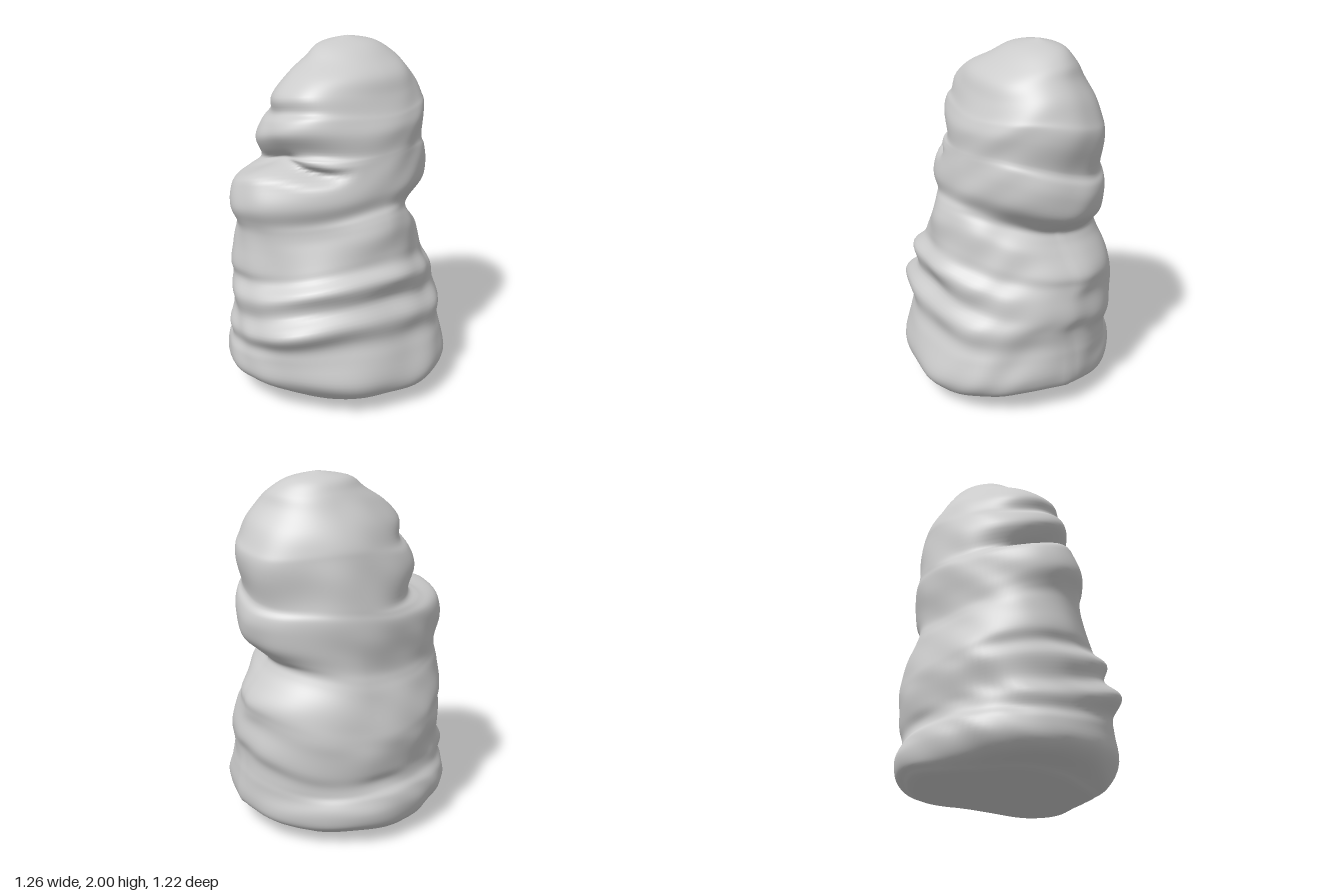
import * as THREE from 'three';

// Strata outline: height, -x edge, +x edge, front edge, back edge
const STRATA = [
  [0, 0.05, 0.05, -0.08, -0.08],
  [0.035, -0.34, 0.38, 0.44, -0.48],
  [0.07, -0.45, 0.49, 0.54, -0.57],
  [0.12, -0.56, 0.60, 0.58, -0.60],
  [0.20, -0.63, 0.63, 0.60, -0.61],
  [0.30, -0.625, 0.61, 0.565, -0.59],
  [0.37, -0.605, 0.60, 0.535, -0.555],
  [0.45, -0.63, 0.605, 0.55, -0.54],
  [0.54, -0.595, 0.62, 0.49, -0.555],
  [0.65, -0.61, 0.60, 0.525, -0.57],
  [0.73, -0.575, 0.595, 0.475, -0.57],
  [0.80, -0.59, 0.59, 0.465, -0.555],
  [0.90, -0.575, 0.53, 0.46, -0.53],
  [0.97, -0.57, 0.47, 0.44, -0.51],
  [1.02, -0.57, 0.45, 0.42, -0.49],
  [1.07, -0.58, 0.50, 0.395, -0.475],
  [1.15, -0.60, 0.575, 0.40, -0.475],
  [1.25, -0.59, 0.595, 0.39, -0.485],
  [1.33, -0.55, 0.585, 0.38, -0.49],
  [1.37, -0.46, 0.56, 0.375, -0.485],
  [1.41, -0.37, 0.56, 0.37, -0.48],
  [1.52, -0.42, 0.59, 0.36, -0.46],
  [1.60, -0.385, 0.60, 0.335, -0.44],
  [1.65, -0.33, 0.58, 0.315, -0.425],
  [1.74, -0.335, 0.53, 0.285, -0.38],
  [1.83, -0.26, 0.46, 0.25, -0.32],
  [1.90, -0.14, 0.41, 0.16, -0.27],
  [1.965, -0.03, 0.32, 0.05, -0.21],
  [2.0, 0.16, 0.16, -0.09, -0.09],
];

// Local swellings and hollows: angle from +x to front, spread, height, spread, amount
const BUMPS = [
  [50, 22, 0.30, 0.32, 0.07], // front +x corner of the foot
  [73, 14, 0.18, 0.20, 0.03], // toes of the foot
  [110, 12, 0.18, 0.20, 0.03],
  [140, 25, 0.46, 0.11, 0.11], // jutting beds
  [140, 22, 0.69, 0.07, 0.06],
  [135, 30, 0.98, 0.20, -0.08], // hollow below the shoulder
  [145, 25, 1.28, 0.08, -0.04], // shoulder corner
  [45, 30, 0.82, 0.18, -0.09], // hollow below the waist
  [40, 40, 1.03, 0.05, -0.05], // waist crease
  [315, 35, 0.20, 0.25, -0.07], // flat back corner
  [303, 22, 1.40, 0.30, -0.06], // flat beside the back ridge
  [142, 25, 1.66, 0.14, 0.10], // overhanging lip
  [225, 32, 1.84, 0.13, -0.10], // sloping back of the crown
];
const STEPS = 5, SIDES = 112;
const { smoothstep } = THREE.MathUtils;
const bell = (v, width) => Math.exp(-(v * v) / (width * width));

// Smooth curve through the strata rows
function rowAt(t) {
  const last = STRATA.length - 1;
  const i = Math.min(Math.floor(t), last - 1), f = t - i;
  const row = (n) => STRATA[Math.max(0, Math.min(last, n))];
  return STRATA[0].map((_, c) => {
    const [p, q, r, s] = [row(i - 1)[c], row(i)[c], row(i + 1)[c], row(i + 2)[c]];
    const m0 = (r - p) / 2, m1 = (s - q) / 2, f2 = f * f, f3 = f2 * f;
    return (2 * f3 - 3 * f2 + 1) * q + (f3 - 2 * f2 + f) * m0 + (3 * f2 - 2 * f3) * r + (f3 - f2) * m1;
  });
}

// Soft weathering lumps, about -1 to 1
function lumps(x, y, z) {
  return 0.35 * Math.sin(5.1 * x + 3.7 * y + 1.3) * Math.cos(4.3 * z - 4.9 * y)
    + 0.35 * Math.sin(9.3 * z + 13 * y + 2 * Math.sin(4 * x)) * Math.cos(8.1 * x - 2 * y + 0.6)
    + 0.3 * Math.sin(15 * x - 6 * y + 2 * Math.sin(7 * z)) * Math.sin(14 * z + 19 * y);
}

function rockPoint(t, a) {
  const [y, x0, x1, z1, z0] = rowAt(t);
  const c = Math.cos(a), s = Math.sin(a);
  const deg = (a * 180) / Math.PI;

  // each half has its own width about a core that leans to +x
  const cx = 0.05 + 0.11 * smoothstep(y, 0.9, 2);
  const hx = c > 0 ? x1 - cx : cx - x0;
  const hz = (z1 - z0) / 2;
  const edge = Math.min(1, (x1 - x0) / 0.6);

  let k = 1 + 0.032 * lumps(hx * c, y, hz * s) * edge;
  for (const [angle, spread, height, rise, amount] of BUMPS) {
    k += amount * bell(deg - angle, spread) * bell(y - height, rise);
  }
  // deep notch under the overhang, front and -x side
  const notchY = 1.37 - 0.07 * smoothstep(180 - deg, 0, 70);
  const notchSpan = smoothstep(deg, 105, 135) * (1 - smoothstep(deg, 180, 215));
  k -= 0.2 * notchSpan * bell(y - notchY, 0.035);

  const x = cx + hx * c * k;
  const z = (z0 + z1) / 2 + hz * s * k;

  // beds rise towards the front
  const tilt = 0.2 * smoothstep(y, 0.15, 0.55) * (1 - smoothstep(y, 1.3, 1.9));
  const ripple = 0.018 * Math.sin(3 * a + 4 * y) * smoothstep(y, 0, 0.2) * (1 - smoothstep(y, 1.7, 2));
  const foot = 0.014 * (1 + Math.sin(4 * a + 1)) * bell(y - 0.06, 0.05) * edge;
  return [x, y + tilt * z + ripple + foot, z];
}

export function createModel() {
  const rows = (STRATA.length - 1) * STEPS;
  const positions = [], index = [];
  for (let r = 0; r <= rows; r++) {
    for (let i = 0; i < SIDES; i++) {
      positions.push(...rockPoint(r / STEPS, (i / SIDES) * Math.PI * 2));
    }
  }
  // the first and last rows close to a point
  for (let r = 0; r < rows; r++) {
    for (let i = 0; i < SIDES; i++) {
      const a = r * SIDES + i, b = r * SIDES + ((i + 1) % SIDES);
      if (r < rows - 1) index.push(a + SIDES, b + SIDES, b);
      if (r > 0) index.push(a, a + SIDES, b);
    }
  }
  const geometry = new THREE.BufferGeometry();
  geometry.setAttribute('position', new THREE.Float32BufferAttribute(positions, 3));
  geometry.setIndex(index);
  geometry.computeVertexNormals();

  const rock = new THREE.Mesh(geometry, new THREE.MeshStandardMaterial({ color: 0xcccccc }));
  rock.name = 'layeredRock';
  const group = new THREE.Group();
  group.name = 'rockFormation';
  group.add(rock);
  return group;
}
